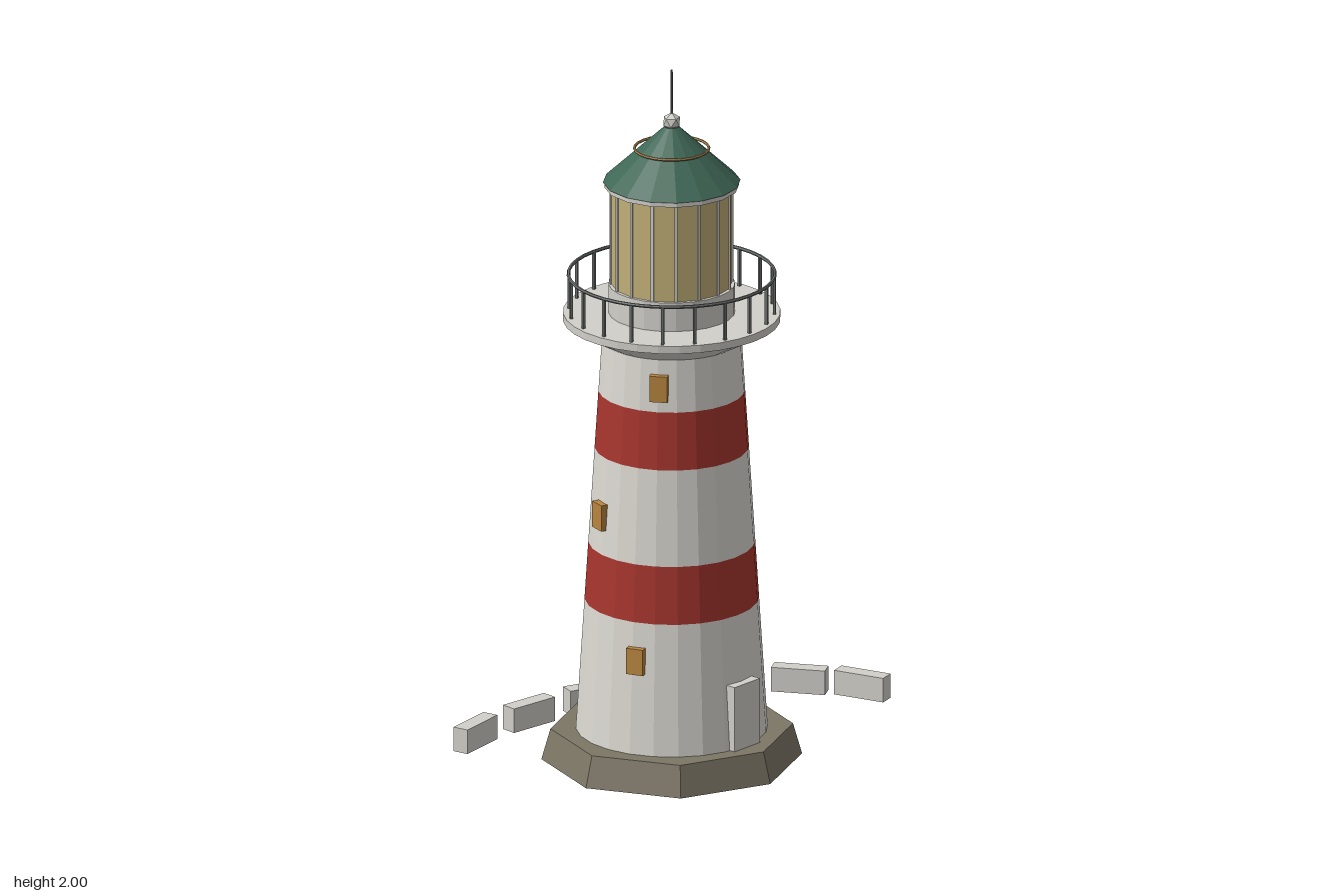
import * as THREE from 'three';

const mat = (name, color) => {
  const m = new THREE.MeshStandardMaterial({ color, flatShading: true });
  m.name = name;
  return m;
};

export function createModel() {
  const white = mat('white plaster', 0xdddad3);
  const pale = mat('pale stone', 0xd2d0ca);
  const red = mat('red paint', 0xa8352e);
  const green = mat('green roof', 0x3f6756);
  const stone = mat('foundation stone', 0x7d7666);
  const glass = mat('lantern glass', 0xc2b078);
  const metal = mat('grey metal', 0x6c6e6e);
  const brass = mat('brass', 0xb08d57);
  const amber = mat('amber window', 0xb9853f);

  const model = new THREE.Group();
  model.name = 'lighthouse';
  const tower = new THREE.Group();
  tower.name = 'tower';
  tower.position.set(-0.16, 0, 0.05);
  model.add(tower);

  const add = (parent, name, geometry, material, x = 0, y = 0, z = 0) => {
    const mesh = new THREE.Mesh(geometry, material);
    mesh.name = name;
    mesh.position.set(x, y, z);
    parent.add(mesh);
    return mesh;
  };
  // Tapered drum between two heights
  const drum = (name, y0, y1, r0, r1, sides, material) =>
    add(tower, name, new THREE.CylinderGeometry(r1, r0, y1 - y0, sides), material, 0, (y0 + y1) / 2, 0);
  // Thin horizontal ring
  const ring = (name, y, r, tube, sides, material) => {
    const mesh = add(tower, name, new THREE.TorusGeometry(r, tube, 6, sides), material, 0, y, 0);
    mesh.rotation.x = Math.PI / 2;
  };

  // Octagonal foundation
  drum('foundation', 0, 0.088, 0.36, 0.335, 8, stone);

  // Tapered shaft with two red bands
  const yBase = 0.088, yTop = 1.22;
  const radius = y => THREE.MathUtils.mapLinear(y, yBase, yTop, 0.265, 0.193);
  const levels = [yBase, 0.465, 0.63, 0.905, 1.07, yTop];
  for (let i = 0; i < 5; i++) {
    const [a, b] = [levels[i], levels[i + 1]];
    drum(i % 2 ? 'redBand' : 'shaft', a, b, radius(a), radius(b), 24, i % 2 ? red : white);
  }

  // Door
  add(tower, 'door', new THREE.BoxGeometry(0.106, 0.187, 0.04), pale, 0, 0.182, 0.256);

  // Windows spiralling up the right side (height, angle from -x towards +z)
  for (const [y, degrees] of [[0.357, 18], [0.74, -19], [1.14, 31]]) {
    const a = THREE.MathUtils.degToRad(degrees), r = radius(y) + 0.002;
    const pane = add(tower, 'window', new THREE.BoxGeometry(0.05, 0.075, 0.026), amber,
      -Math.cos(a) * r, y, Math.sin(a) * r);
    pane.rotation.y = a - Math.PI / 2;
  }

  // Gallery deck on a flared support
  drum('galleryFlare', 1.22, 1.275, 0.193, 0.293, 32, white);
  drum('galleryDeck', 1.275, 1.297, 0.3, 0.3, 32, pale);

  // Gallery railing
  for (let i = 0; i < 20; i++) {
    const a = i * Math.PI / 10;
    const post = add(tower, 'railPost', new THREE.BoxGeometry(0.008, 0.11, 0.008), metal,
      Math.sin(a) * 0.284, 1.352, Math.cos(a) * 0.284);
    post.rotation.y = a;
  }
  ring('handrail', 1.406, 0.285, 0.005, 40, metal);

  // Lantern room with glazing bars
  drum('lanternPlinth', 1.297, 1.38, 0.175, 0.175, 24, pale);
  drum('lanternGlass', 1.38, 1.665, 0.167, 0.167, 16, glass);
  for (let i = 0; i < 16; i++) {
    const a = i * Math.PI / 8;
    const bar = add(tower, 'glazingBar', new THREE.BoxGeometry(0.008, 0.285, 0.008), pale,
      Math.sin(a) * 0.167, 1.5225, Math.cos(a) * 0.167);
    bar.rotation.y = a;
  }

  // Roof, trim ring, finial ball and spire
  drum('roofRim', 1.662, 1.678, 0.186, 0.186, 16, pale);
  drum('roof', 1.676, 1.835, 0.19, 0.02, 16, green);
  ring('roofRing', 1.772, 0.103, 0.004, 24, brass);
  const ball = add(tower, 'finialBall', new THREE.IcosahedronGeometry(0.026, 0), pale, 0, 1.85, 0);
  ball.rotation.z = 0.5536;
  drum('spire', 1.86, 2, 0.004, 0.003, 6, metal);

  // Curved line of low wall blocks: centre x, z and run direction
  const blocks = [
    [-0.49, -0.38, 50, -7], [-0.265, -0.38, 50, 6], [-0.049, -0.341, 47, 18], [0.15, -0.263, 42, 28],
    [0.317, -0.148, 34, 37], [0.444, -0.008, 24, 44], [0.523, 0.152, 12, 48],
  ];
  for (const [x, z, dx, dz] of blocks) {
    const block = add(model, 'wallBlock', new THREE.BoxGeometry(0.152, 0.07, 0.046), pale, x, 0.056, z);
    block.rotation.y = -Math.atan2(dz, dx);
  }
  return model;
}
